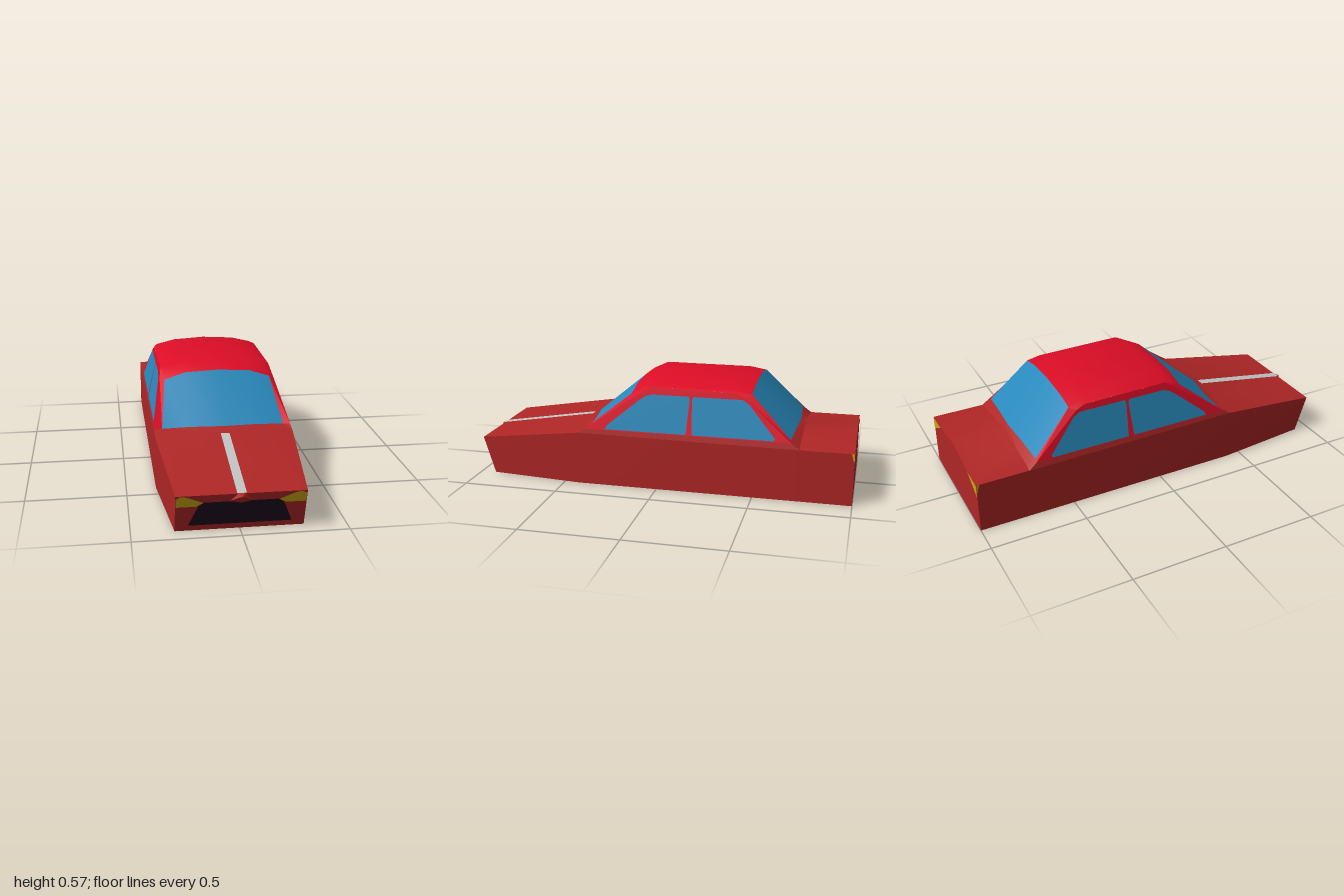
import * as THREE from 'three';
import { toCreasedNormals } from 'three/addons/utils/BufferGeometryUtils.js';

const paint = (name, color) => {
  const m = new THREE.MeshStandardMaterial({ color });
  m.name = name;
  return m;
};

export function createModel() {
  const car = new THREE.Group();
  car.name = 'car';
  const bodyRed = paint('body red', 0xb02626);
  const roofRed = paint('roof red', 0xdd0d26);
  const glass = paint('window blue', 0x2888bb);
  const black = paint('dark underside', 0x1f0a20);
  const yellow = paint('lamp yellow', 0xcaa610);
  const silver = paint('stripe silver', 0xc4c4c4);

  const add = (name, geometry, material) => {
    const mesh = new THREE.Mesh(geometry, material);
    mesh.name = name;
    car.add(mesh);
  };

  // Quads of a point grid, limited to the cells that pass the test
  const grid = (rows, test = () => true) => {
    const out = [];
    for (let i = 0; i < rows.length - 1; i++) {
      for (let j = 0; j < rows[i].length - 1; j++) {
        if (!test(i, j)) continue;
        const a = rows[i][j], b = rows[i + 1][j], c = rows[i + 1][j + 1], d = rows[i][j + 1];
        out.push(...a, ...b, ...c, ...a, ...c, ...d);
      }
    }
    const g = new THREE.BufferGeometry();
    g.setAttribute('position', new THREE.Float32BufferAttribute(out, 3));
    return toCreasedNormals(g, 0.5);
  };

  // Flat outline whose points are carried into space by a rule
  const plate = (name, outline, material, place) => {
    const shape = new THREE.Shape(outline.map(([u, v]) => new THREE.Vector2(u, v)));
    const g = new THREE.ShapeGeometry(shape);
    const p = g.attributes.position;
    for (let i = 0; i < p.count; i++) p.setXYZ(i, ...place(p.getX(i), p.getY(i)));
    g.computeVertexNormals();
    add(name, g, material);
  };

  // Half cross-rows from front to back: edge, glass edge, middle, centre
  const half = [
    [[.30, 0, .92], [.27, 0, .92], [.17, 0, .92], [0, 0, .92]],                     // front bottom
    [[.30, .197, .98], [.27, .197, .98], [.17, .197, .98], [0, .197, .98]],         // nose
    [[.35, .277, .42], [.31, .28, .425], [.17, .283, .43], [0, .286, .44]],         // hood rear
    [[.345, .30, .386], [.31, .30, .375], [.17, .305, .38], [0, .31, .402]],        // windscreen foot
    [[.30, .49, .11], [.277, .488, .145], [.17, .522, .14], [0, .53, .138]],        // windscreen top
    [[.29, .53, .05], [.27, .537, .055], [.17, .56, .06], [0, .568, .06]],          // roof front
    [[.291, .525, -.40], [.27, .535, -.40], [.17, .56, -.40], [0, .568, -.40]],     // roof rear
    [[.296, .505, -.45], [.275, .52, -.48], [.17, .545, -.482], [0, .555, -.482]],  // rear glass top
    [[.345, .30, -.69], [.325, .31, -.685], [.17, .325, -.695], [0, .33, -.705]],   // rear glass foot
    [[.35, .27, -.73], [.31, .28, -.73], [.17, .30, -.73], [0, .318, -.73]],        // trunk front
    [[.35, .27, -1], [.31, .27, -1], [.17, .278, -1], [0, .305, -1]],               // trunk rear
    [[.35, 0, -1], [.31, 0, -1], [.17, 0, -1], [0, 0, -1]],                         // rear bottom
  ];
  const rows = half.map(r => [...r, ...r.slice(0, 3).reverse().map(([x, y, z]) => [-x, y, z])]);
  const isGlass = (i, j) => (i === 3 || i === 7) && j > 0 && j < 5;
  const isCabin = i => i > 2 && i < 8;
  add('bodyShell', grid(rows, i => !isCabin(i)), bodyRed);
  add('roof', grid(rows, (i, j) => isCabin(i) && !isGlass(i, j)), roofRed);
  add('windscreen', grid(rows, (i, j) => i === 3 && isGlass(i, j)), glass);
  add('rearWindow', grid(rows, (i, j) => i === 7 && isGlass(i, j)), glass);

  // Both flanks
  const edge = half.map(r => r[0]);
  const lean = y => .35 - .06 * (y - .277) / .253;
  const frontWindow = [[.275, .305], [-.15, .305], [-.155, .31], [-.167, .48], [-.16, .495],
    [.035, .495], [.065, .485], [.1, .462], [.265, .325]];
  const rearWindow = [[-.185, .305], [-.60, .305], [-.61, .315], [-.47, .475], [-.435, .495],
    [-.185, .495], [-.178, .48]];
  for (const s of [1, -1]) {
    const side = s > 0 ? 'left' : 'right';
    const flank = [1, 2, 9, 10].map(i => {
      const [x, y, z] = edge[i];
      const pair = [[s * x, 0, i === 1 ? .92 : z], [s * x, y, z]];
      return s > 0 ? pair : pair.reverse();
    });
    add(side + 'Flank', grid(flank), bodyRed);

    const onSide = (name, outline, material, lift) => plate(side + name,
      outline.map(([z, y]) => [-s * z, y]), material,
      (u, v) => [s * (lean(v) + lift), v, -s * u]);
    const zy = ids => ids.map(i => [edge[i][2], edge[i][1]]);
    onSide('Waistline', zy([2, 3, 8, 9]), bodyRed, 0);
    onSide('WindowFrame', zy([3, 4, 5, 6, 7, 8]), roofRed, 0);
    onSide('FrontWindow', frontWindow, glass, .003);
    onSide('RearSideWindow', rearWindow, glass, .003);

    // Tail lamp with a sliver round the corner
    plate(side + 'TailLamp', [[.35, .268], [.35, .2], [.22, .273]].map(([x, y]) => [-s * x, y]),
      yellow, (u, v) => [-u, v, -1.002]);
    plate(side + 'TailLampSide', [[-1, .27], [-1, .22], [-.985, .27]].map(([z, y]) => [-s * z, y]),
      yellow, (u, v) => [s * .352, v, -s * u]);
  }

  // Front fascia details
  const onFront = lift => (x, y) => [x, y, .92 + .305 * y + lift];
  plate('grille', [[-.24, .03], [.24, .03], [.195, .14], [.17, .158], [.045, .158], [0, .147],
    [-.045, .158], [-.17, .158], [-.195, .14]], black, onFront(.003));
  for (const s of [1, -1]) {
    plate(s > 0 ? 'leftHeadlamp' : 'rightHeadlamp', [[.298, .138], [.205, .138], [.172, .157],
      [.245, .19], [.262, .196], [.278, .196], [.298, .182]].map(([x, y]) => [s * x, y]),
    yellow, onFront(.004));
  }

  // Small beak at the middle of the nose
  const tip = [0, .19, 1];
  const ring = [[.05, .16, .969], [.018, .199, .979], [-.018, .199, .979], [-.05, .16, .969],
    [0, .148, .966], [.05, .16, .969]];
  const beak = new THREE.BufferGeometry();
  beak.setAttribute('position', new THREE.Float32BufferAttribute(
    ring.slice(0, -1).flatMap((p, i) => [...tip, ...p, ...ring[i + 1]]), 3));
  beak.computeVertexNormals();
  add('noseBeak', beak, bodyRed);

  // Hood stripe
  plate('hoodStripe', [[-.022, -.98], [.022, -.98], [.022, -.445], [-.022, -.445]], silver,
    (x, v) => [x, .200 + (v + .98) * .165, -v]);

  // Underside
  plate('underside', [[-.35, -1], [.35, -1], [.35, .42], [.30, .92], [-.30, .92], [-.35, .42]],
    black, (x, z) => [x, 0, z]);

  return car;
}
